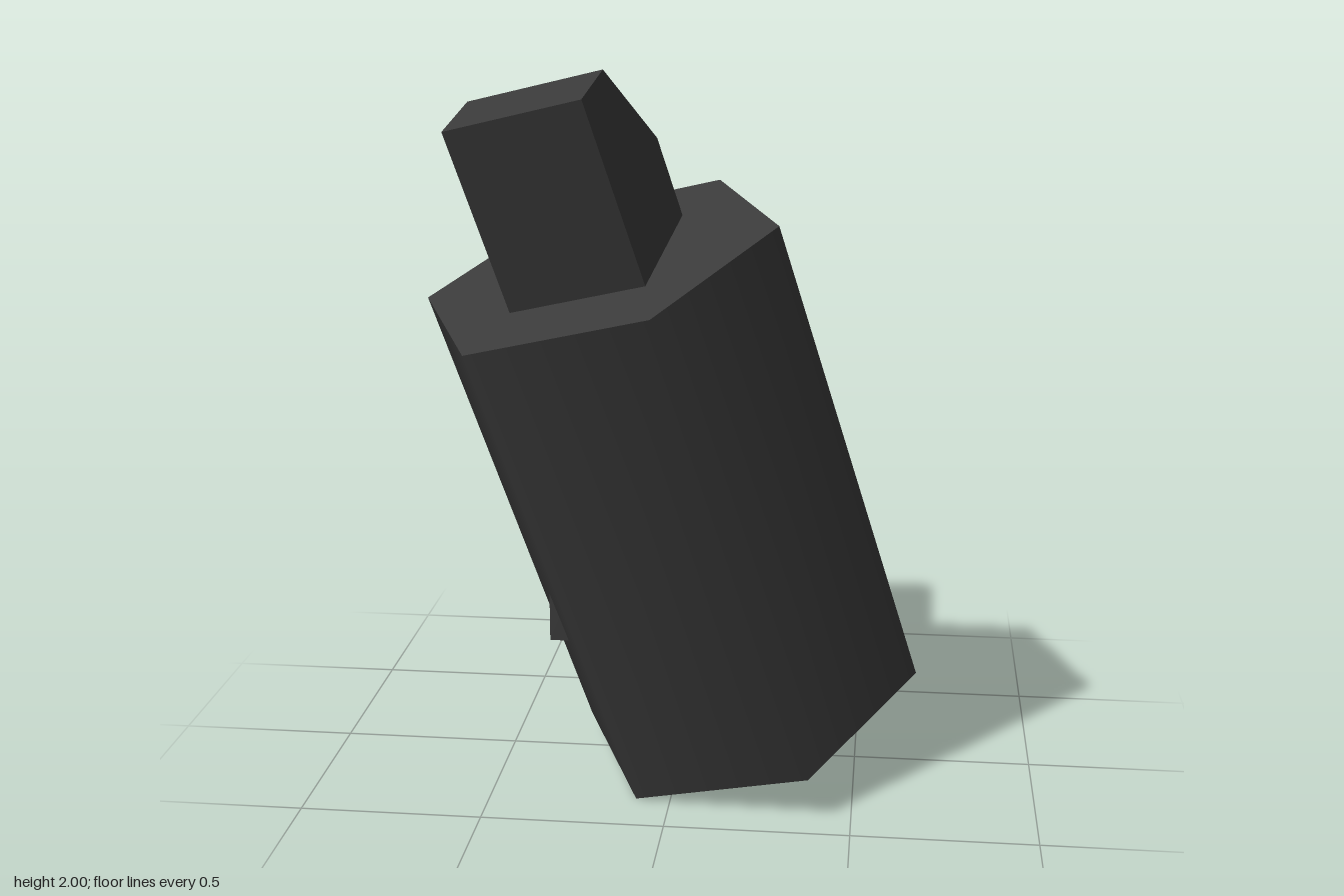
import * as THREE from 'three';

export function createModel() {
  const dark = new THREE.MeshStandardMaterial({ color: 0x3a3a3a });
  dark.name = 'charcoal';

  const model = new THREE.Group();
  model.name = 'tiltedPrism';
  const add = (parent, name, geometry, x, y, z) => {
    const mesh = new THREE.Mesh(geometry, dark);
    mesh.name = name;
    mesh.position.set(x, y, z);
    parent.add(mesh);
  };

  // Tilted frame shared by the body and the cap
  const tilted = new THREE.Group();
  tilted.name = 'tiltedBody';
  const up = new THREE.Vector3(-0.385, 1.32, 0.305).normalize();
  const side = new THREE.Vector3(0.48, 0.12, 0.085);
  side.addScaledVector(up, -side.dot(up)).normalize();
  const front = new THREE.Vector3().crossVectors(side, up);
  tilted.quaternion.setFromRotationMatrix(new THREE.Matrix4().makeBasis(side, up, front));
  tilted.position.set(-0.002, 0.831, 0.12);
  model.add(tilted);

  // Six-sided body with smooth sides, corners on the side axis
  const height = 1.41;
  add(tilted, 'body', new THREE.CylinderGeometry(0.5, 0.5, height, 6, 1, false, Math.PI / 6), 0, 0, 0);

  // Cap with a sloped back, profile drawn as (depth, height)
  const profile = new THREE.Shape([
    [0.22, -0.02], [0.22, 0.503], [0.01, 0.503], [-0.22, 0.226], [-0.22, -0.02],
  ].map(([d, h]) => new THREE.Vector2(d, h)));
  const width = 0.374;
  const cap = new THREE.ExtrudeGeometry(profile, { depth: width, bevelEnabled: false });
  cap.translate(0, 0, -width / 2).rotateY(-Math.PI / 2);
  add(tilted, 'cap', cap, 0, height / 2, 0);

  // Upright block passing into the back of the body
  add(model, 'backBlock', new THREE.BoxGeometry(0.35, 0.86, 0.94), -0.178, 0.835, -0.268);

  return model;
}
